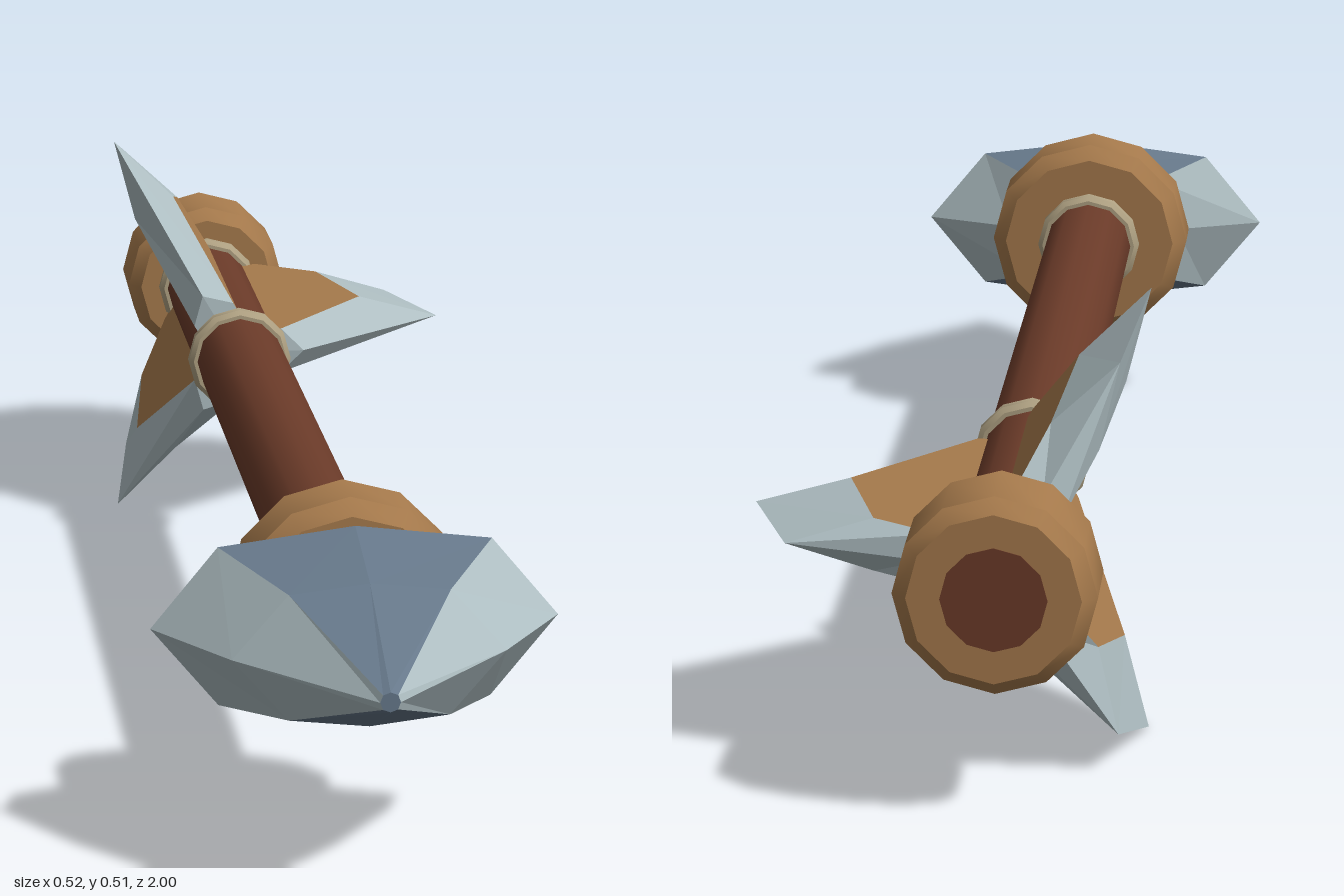
import * as THREE from 'three';
import { toCreasedNormals } from 'three/addons/utils/BufferGeometryUtils.js';

const mat = (name, color) => {
  const m = new THREE.MeshStandardMaterial({ color });
  m.name = name;
  return m;
};

// Flat-faced geometry from a list of polygons, each fanned into triangles
function facets(polys) {
  const pos = [];
  for (const p of polys)
    for (let i = 1; i < p.length - 1; i++) pos.push(...p[0], ...p[i], ...p[i + 1]);
  const g = new THREE.BufferGeometry();
  g.setAttribute('position', new THREE.Float32BufferAttribute(pos, 3));
  g.computeVertexNormals();
  return g;
}

// Twelve-sided solid turned about z, profile given as [radius, z] from back to front
function turned(profile) {
  const pts = profile.map(([r, z]) => new THREE.Vector2(r, z));
  return toCreasedNormals(new THREE.LatheGeometry(pts, 12).rotateX(Math.PI / 2), 0.65);
}

// Bevelled collar profile
const collar = (r, z0, z1, b, inner = 0) =>
  [[inner, z0], [r - b, z0], [r, z0 + b], [r, z1 - b], [r - b, z1], [inner, z1]];

export function createModel() {
  const wood = mat('dark wood', 0x6b3b29);
  const tan = mat('tan leather', 0xa67a4c);
  const cord = mat('pale cord', 0xb0a283);
  const steel = mat('light steel', 0xafbfc3);
  const blue = mat('blue steel', 0x66788a);

  const model = new THREE.Group();
  const body = new THREE.Group();
  body.name = 'arrow';
  body.position.set(-0.035, 0.262, 0);
  model.add(body);
  const add = (parent, name, geo, m) => {
    const mesh = new THREE.Mesh(geo, m);
    mesh.name = name;
    parent.add(mesh);
  };

  // Shaft, its end just proud of the rear cap
  add(body, 'shaft', turned([[0, -1.001], [0.057, -1.001], [0.057, 0.62], [0, 0.62]]), wood);

  // Collars and binding rings
  add(body, 'rearCap', turned(collar(0.109, -1, -0.872, 0.016)), tan);
  add(body, 'headCollar', turned(collar(0.131, 0.583, 0.69, 0.018)), tan);
  for (const z of [-0.87, -0.456, 0.574])
    add(body, 'bindingRing', turned(collar(0.068, z - 0.012, z + 0.012, 0.006, 0.05)), cord);

  // Head: eight-sided sections from back to front [side, diagonal x, diagonal y, top, z]
  const sections = [
    [0.115, 0.085, 0.068, 0.09, 0.667],
    [0.227, 0.152, 0.091, 0.11, 0.715],
    [0.15, 0.088, 0.071, 0.081, 0.837],
    [0.011, 0.008, 0.008, 0.011, 1],
  ].map(([s, dx, dy, t, z]) => [
    [s, 0, z], [dx, dy, z], [0, t, z], [-dx, dy, z],
    [-s, 0, z], [-dx, -dy, z], [0, -t, z], [dx, -dy, z],
  ]);
  const sideFaces = [];
  const midFaces = [sections[3], [...sections[0]].reverse()];
  for (let k = 0; k < 3; k++) {
    for (let i = 0; i < 8; i++) {
      const j = (i + 1) % 8, a = sections[k], b = sections[k + 1];
      (i % 4 === 1 || i % 4 === 2 ? midFaces : sideFaces).push([a[i], a[j], b[j], b[i]]);
    }
  }
  const head = new THREE.Group();
  head.name = 'head';
  add(head, 'headSides', facets(sideFaces), steel);
  add(head, 'headRidges', facets(midFaces), blue);
  body.add(head);

  // Fins: flat leather panels inside a bevelled steel edge, points as [radius, z]
  const edge = [[0.03, -0.49], [0.09, -0.49], [0.294, -0.66], [0.243, -0.815], [0.085, -0.868], [0.03, -0.868]];
  const panel = [[0.03, -0.493], [0.06, -0.493], [0.187, -0.66], [0.146, -0.812], [0.07, -0.866], [0.03, -0.866]];
  const panelFaces = [], rimFaces = [];
  for (const s of [1, -1]) {
    const o = edge.map(([r, z]) => [r, 0, z]);
    const p = panel.map(([r, z]) => [r, s * 0.03, z]);
    const face = (f) => (s > 0 ? f : f.reverse());
    panelFaces.push(face([...p]));
    for (let i = 0; i < 5; i++) rimFaces.push(face([o[i], o[i + 1], p[i + 1], p[i]]));
  }
  const panelGeo = facets(panelFaces), rimGeo = facets(rimFaces);
  for (let i = 0; i < 3; i++) {
    const fin = new THREE.Group();
    fin.name = 'fin';
    fin.rotation.z = (i * Math.PI * 2) / 3;
    add(fin, 'finPanels', panelGeo, tan);
    add(fin, 'finEdge', rimGeo, steel);
    body.add(fin);
  }
  return model;
}
